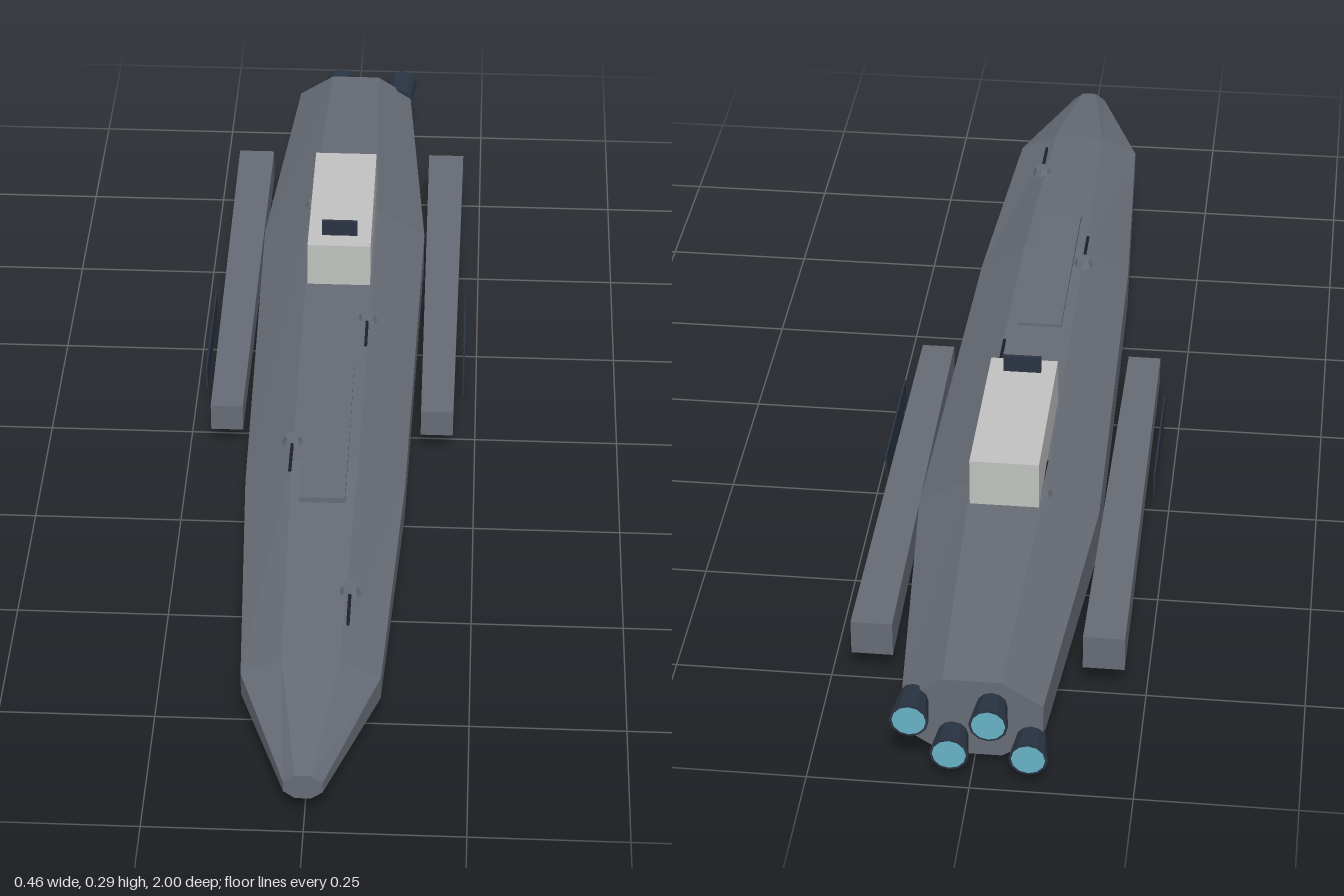
import * as THREE from 'three';

const paint = (name, color) => {
  const m = new THREE.MeshStandardMaterial({ color });
  m.name = name;
  m.flatShading = true;
  return m;
};

// Flat-faced loft along z; each section is [z, halfWidth, halfHeight, centreY].
function loft(sections, sides) {
  const pos = [], index = [], k = 1 / Math.cos(Math.PI / sides);
  for (const [z, w, h, y] of sections) {
    for (let i = 0; i < sides; i++) {
      const a = (i + 0.5) * 2 * Math.PI / sides;
      pos.push(w * k * Math.cos(a), y + h * k * Math.sin(a), z);
    }
  }
  const last = (sections.length - 1) * sides;
  for (let s = 0; s < last; s += sides) {
    for (let i = 0; i < sides; i++) {
      const a = s + i, b = s + (i + 1) % sides;
      index.push(a, b, b + sides, a, b + sides, a + sides);
    }
  }
  for (let i = 1; i < sides - 1; i++) {
    index.push(0, i + 1, i, last, last + i, last + i + 1);
  }
  const g = new THREE.BufferGeometry();
  g.setAttribute('position', new THREE.Float32BufferAttribute(pos, 3));
  g.setIndex(index);
  const flat = g.toNonIndexed();
  flat.computeVertexNormals();
  return flat;
}

export function createModel() {
  const hullGrey = paint('hull grey', 0x666b75);
  const paleGrey = paint('pale grey', 0xc0c2c0);
  const navy = paint('dark navy', 0x2a3443);
  const gunBlack = paint('gun black', 0x1e2229);
  const glowBlue = paint('glow blue', 0x68b2c6);

  const ship = new THREE.Group();
  ship.name = 'ship';
  const add = (name, geometry, material, x = 0, y = 0, z = 0, parent = ship) => {
    const mesh = new THREE.Mesh(geometry, material);
    mesh.name = name;
    mesh.position.set(x, y, z);
    parent.add(mesh);
    return mesh;
  };
  const box = (w, h, d) => new THREE.BoxGeometry(w, h, d);

  // Eight-sided hull, stern to nose
  add('hull', loft([
    [-0.95, 0.108, 0.07, 0.096],
    [-0.45, 0.148, 0.092, 0.092],
    [0.3, 0.134, 0.081, 0.094],
    [0.77, 0.11, 0.051, 0.093],
    [1, 0.03, 0.023, 0.093],
  ], 8), hullGrey);

  // Deck hatch, bridge block and sensor plate
  add('deckHatch', box(0.076, 0.01, 0.38), hullGrey, 0, 0.179, 0.22);
  add('bridge', box(0.112, 0.094, 0.306), paleGrey, 0, 0.217, -0.362);
  add('sensorPlate', box(0.063, 0.03, 0.005), navy, 0, 0.279, -0.245);

  // Side pods with stand-off panels
  const podShape = loft([[-0.755, 0.033, 0.03, 0.082], [0.062, 0.028, 0.025, 0.08]], 4);
  for (const side of [-1, 1]) {
    add('sidePod', podShape, hullGrey, side * 0.183);
    add('podPanel', box(0.003, 0.045, 0.235), navy, side * 0.227, 0.082, -0.17);
  }

  // Deck guns, alternating sides
  const base = new THREE.CylinderGeometry(0.013, 0.018, 0.014, 8);
  const barrel = new THREE.CylinderGeometry(0.003, 0.003, 0.085, 6).rotateX(Math.PI / 2);
  for (const [x, y, z] of [
    [0.055, 0.158, 0.61], [-0.057, 0.181, 0.25], [0.055, 0.181, -0.11], [-0.057, 0.181, -0.47],
  ]) {
    const gun = new THREE.Group();
    gun.name = 'deckGun';
    gun.position.set(x, y, z);
    add('gunBase', base, hullGrey, 0, 0, 0, gun);
    add('gunBarrel', barrel, gunBlack, 0, 0, 0.043, gun);
    ship.add(gun);
  }

  // Keel gun barrels, set almost flush
  for (const z of [-0.28, -0.07]) add('keelGunBarrel', barrel, gunBlack, 0.058, 0.004, z);

  // Staggered engine nozzles with glowing ends
  const nozzle = new THREE.CylinderGeometry(0.022, 0.03, 0.06, 12).rotateX(Math.PI / 2);
  const glow = new THREE.CircleGeometry(0.026, 12).rotateY(Math.PI);
  for (const [x, y] of [[0.09, 0.123], [0.03, 0.063], [-0.03, 0.123], [-0.09, 0.063]]) {
    add('engineNozzle', nozzle, navy, x, y, -0.969);
    add('engineGlow', glow, glowBlue, x, y, -1);
  }

  return ship;
}
